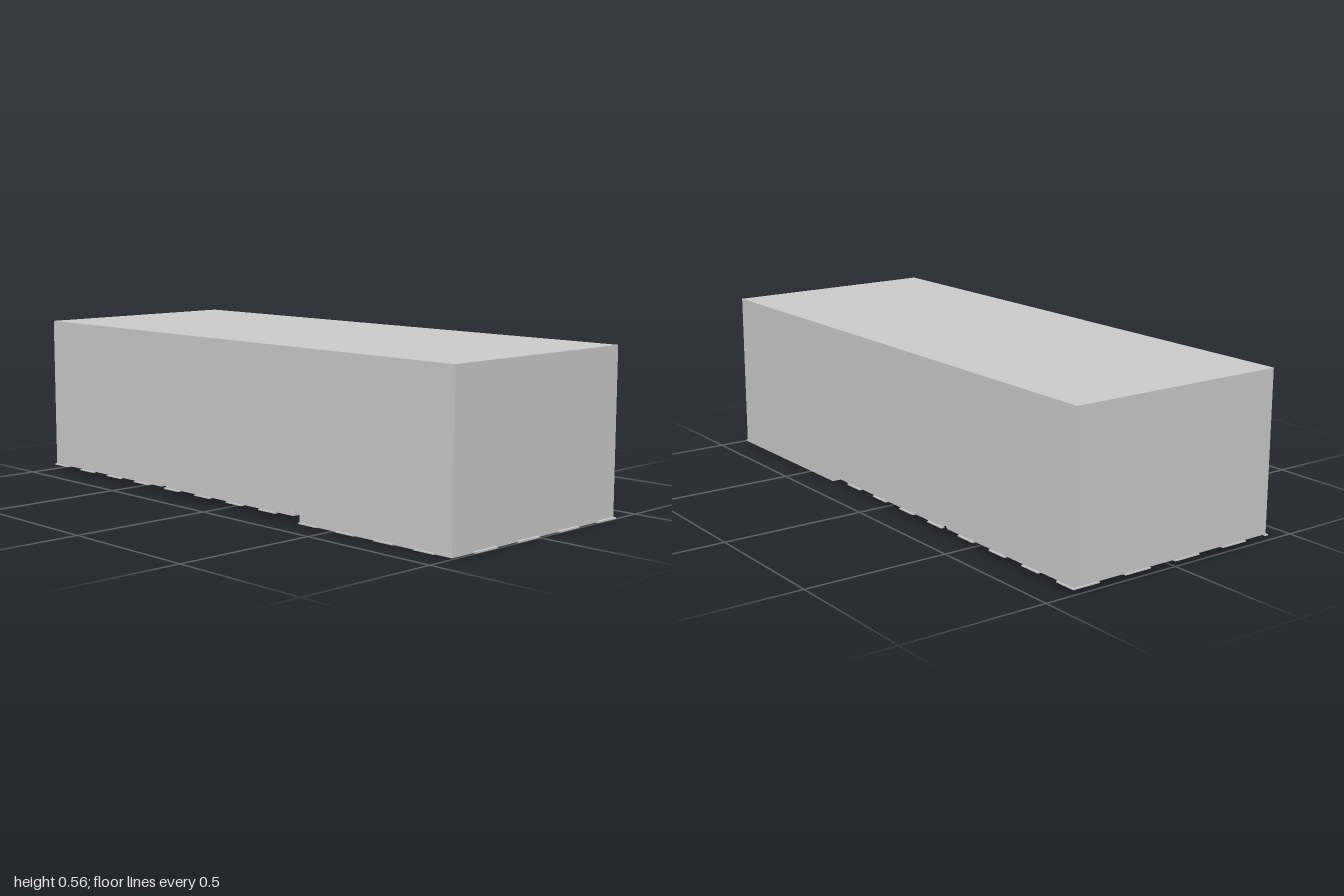
import * as THREE from 'three';

export function createModel() {
  const model = new THREE.Group();
  const mat = new THREE.MeshStandardMaterial({ color: 0xcccccc, flatShading: true, side: THREE.DoubleSide });
  const T = 0.004; // sheet thickness

  // Box given by its min and max corners
  function slab(name, x0, x1, y0, y1, z0, z1, parent = model) {
    const mesh = new THREE.Mesh(new THREE.BoxGeometry(x1 - x0, y1 - y0, z1 - z0), mat);
    mesh.position.set((x0 + x1) / 2, (y0 + y1) / 2, (z0 + z1) / 2);
    mesh.name = name;
    parent.add(mesh);
    return mesh;
  }

  const L = -0.995, R = 0.99, Z = 0.393, H = 0.562, low = 0.02;

  // Long wall outline: raised lower edge, two notches, dropped end section
  const outline = [
    [L, low], [-0.36, low], [-0.352, 0.028], [-0.36, 0.038], [-0.32, 0.038], [-0.328, 0.028], [-0.335, low],
    [0.32, low], [0.325, 0.026], [0.312, 0.036], [0.35, 0.036], [0.35, 0], [R, 0], [R, H], [L, H],
  ].map(([x, y]) => new THREE.Vector2(x, y));
  const wallGeo = new THREE.ExtrudeGeometry(new THREE.Shape(outline), { depth: T, bevelEnabled: false });
  for (const [name, z] of [['frontWall', Z - T], ['backWall', -Z]]) {
    const wall = new THREE.Mesh(wallGeo, mat);
    wall.name = name;
    wall.position.z = z;
    model.add(wall);
  }

  // Roof and end walls
  slab('roof', L, R, H - T, H, -Z, Z);
  slab('leftEndWall', R - T, R, 0, H, -Z, Z);
  slab('rightEndWall', L, L + T, low, H, -Z, Z);

  // Only the lowered section has a floor
  slab('floorPanel', 0.35, R, 0, T, -Z, Z);

  // Folded lips along the grooves across the underside
  for (const x of [-0.36, -0.33, 0.318, 0.35]) {
    slab('grooveLip', x, x + 0.003, x > 0.34 ? 0 : low, 0.037, -Z, Z);
  }

  // Thin seam strip on the lowered section
  slab('seamStrip', 0.35, 0.67, 0.028, 0.031, Z, Z + 0.001);

  // Small tabs along the lower edges
  const tabs = new THREE.Group();
  tabs.name = 'edgeTabs';
  model.add(tabs);
  [-1, -0.335, 0.35].forEach((start, section) => {
    for (let i = 0; i < 4; i++) {
      const x = start + i * 0.165, y = section === 2 ? 0 : 0.016;
      slab('frontTab', x, x + 0.08, y, y + T, Z - 0.006, 0.4, tabs);
      if (section < 2) slab('backTab', x, x + 0.08, y, y + T, -0.4, -Z + 0.006, tabs);
    }
  });
  for (let i = 0; i < 4; i++) {
    const z = -0.4 + i * 0.2;
    slab('leftTab', R - 0.006, 1, 0, 0.005, Math.max(z, -Z), z + 0.1, tabs);
    slab('rightTab', -1, L + 0.006, 0.016, 0.02, z, z + 0.1, tabs);
  }
  return model;
}
